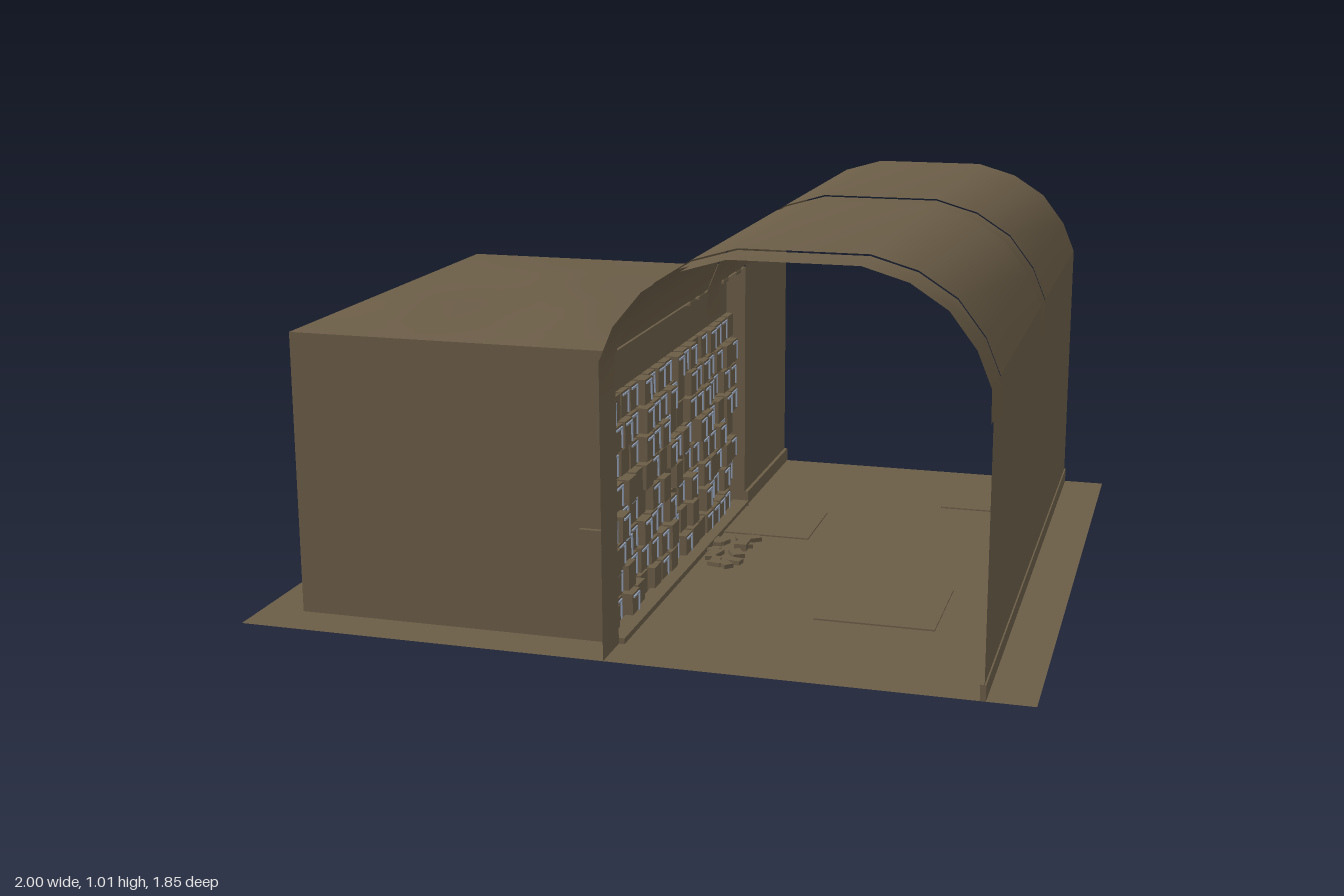
import * as THREE from 'three';

const BROWN = new THREE.MeshStandardMaterial({ name: 'earth brown', color: 0x6b5d47, side: THREE.DoubleSide });
const STEEL = new THREE.MeshStandardMaterial({ name: 'pale steel blue', color: 0x8f9bb0, side: THREE.DoubleSide });

// vault cross-section, left to right
const ARCH = [[-0.035, 0.75], [0, 0.835], [0.07, 0.92], [0.16, 0.978], [0.27, 1.01],
  [0.58, 1.01], [0.69, 0.978], [0.78, 0.92], [0.845, 0.835], [0.88, 0.75]];

export function createModel() {
  const model = new THREE.Group();
  model.name = 'vaultedHall';

  const add = (name, geometry, material = BROWN, parent = model) => {
    const mesh = new THREE.Mesh(geometry, material);
    mesh.name = name;
    parent.add(mesh);
    return mesh;
  };
  // box given by its extents
  const block = (name, x0, x1, y0, y1, z0, z1, material, parent) => {
    const g = new THREE.BoxGeometry(x1 - x0, y1 - y0, z1 - z0);
    g.translate((x0 + x1) / 2, (y0 + y1) / 2, (z0 + z1) / 2);
    return add(name, g, material, parent);
  };
  // open sheet following a profile in x and y, running from z0 to z1
  const sheet = (name, profile, z0, z1) => {
    const n = profile.length;
    const g = new THREE.PlaneGeometry(1, 1, n - 1, 1);
    const p = g.attributes.position;
    for (let i = 0; i < p.count; i++) {
      const [x, y] = profile[i % n];
      p.setXYZ(i, x, y, i < n ? z0 : z1);
    }
    g.computeVertexNormals();
    return add(name, g);
  };
  // vertical sheet facing sideways or forwards
  const sideWall = (name, x, y0, y1, z0, z1, turn) => {
    const g = new THREE.PlaneGeometry(z1 - z0, y1 - y0);
    g.rotateY(turn * Math.PI / 2).translate(x, (y0 + y1) / 2, (z0 + z1) / 2);
    return add(name, g);
  };
  const endWall = (name, x0, x1, y0, y1, z, turn) => {
    const g = new THREE.PlaneGeometry(x1 - x0, y1 - y0);
    g.rotateY(turn).translate((x0 + x1) / 2, (y0 + y1) / 2, z);
    return add(name, g);
  };
  let seed = 7;
  const rand = () => (seed = (seed * 16807) % 2147483647) / 2147483647;

  // L-shaped floor (shape y is -z)
  const outline = [[-1, -0.92], [1, -0.92], [1, 0.925], [-0.08, 0.925], [-0.08, 0.53], [-1, 0.53]];
  const floor = new THREE.ShapeGeometry(new THREE.Shape(outline.map(([x, y]) => new THREE.Vector2(x, y))));
  add('floor', floor.rotateX(-Math.PI / 2).translate(0, 0.01, 0));

  // thin floor slabs
  for (const [x0, x1, z0, z1] of [[0.39, 0.7, 0.2, 0.51], [0.55, 0.85, -0.68, -0.53],
    [-0.05, 0.23, -0.38, -0.12], [-0.53, -0.22, 0.2, 0.45]]) {
    block('floorSlab', x0, x1, 0, 0.014, z0, z1);
  }

  // vault panels with slightly recessed bands between them
  sheet('vaultRear', ARCH, -0.925, -0.105);
  sheet('vaultFront', ARCH, 0, 0.82);
  const inset = ARCH.map(([x, y]) => [0.4225 + (x - 0.4225) * 0.988, y - 0.01]);
  const band = [[-0.03, 0.66], ...inset, [0.875, 0.66]];
  const bandOuter = [[-0.035, 0.66], ...ARCH.map(([x, y]) => [x, y - 0.004]), [0.882, 0.66]];
  for (const [z0, z1] of [[-0.105, 0], [0.82, 0.92]]) {
    sheet('vaultBandInner', band, z0, z1);
    sheet('vaultBand', bandOuter, z0, z1);
  }

  // hall walls and skirtings
  sideWall('rightWall', 0.88, 0.01, 0.75, -0.925, 0.92, 1);
  sideWall('leftRearWall', -0.035, 0.01, 0.75, -0.925, -0.41, -1);
  sideWall('leftFrontWall', -0.035, 0.01, 0.75, 0.8, 0.92, -1);
  block('rightSkirting', 0.87, 0.884, 0.01, 0.05, -0.925, 0.92);
  block('leftRearSkirting', -0.039, -0.025, 0.01, 0.05, -0.925, -0.41);

  // side room: walls and gently uneven roof
  sideWall('roomOuterWall', -0.89, 0.01, 0.745, -0.41, 0.8, -1);
  endWall('roomFrontWall', -0.89, -0.035, 0.01, 0.745, 0.8, 0);
  endWall('roomRearWall', -0.89, -0.035, 0.01, 0.745, -0.41, Math.PI);
  const roof = new THREE.PlaneGeometry(0.855, 1.21, 10, 14);
  roof.rotateX(-Math.PI / 2).translate(-0.4625, 0.745, 0.195);
  const rp = roof.attributes.position;
  for (let i = 0; i < rp.count; i++) {
    const u = (rp.getX(i) + 0.89) / 0.855, v = (rp.getZ(i) + 0.41) / 1.21;
    const edge = Math.min(1, 5 * u * (1 - u)) * Math.min(1, 5 * v * (1 - v));
    rp.setY(i, 0.745 + edge * (0.022 + 0.01 * Math.sin(u * 9) * Math.cos(v * 8)));
  }
  roof.computeVertexNormals();
  add('roomRoof', roof);

  // rough panelled face between room and hall
  const face = new THREE.Group();
  face.name = 'panelledFace';
  model.add(face);
  block('backing', -0.1, -0.09, 0.01, 0.74, -0.4, 0.79, BROWN, face);
  for (let i = 0; i < 17; i++) {
    const z = -0.4 + i * 0.07;
    for (let j = 0; j < 8; j++) {
      const y = 0.015 + j * 0.075;
      const depth = -0.08 + rand() * 0.03;
      block('panel', -0.09, depth, y, y + 0.066, z + 0.004, z + 0.062, BROWN, face);
      if (rand() < 0.7) {
        block('panelTrim', depth, depth + 0.004, y + 0.005, y + 0.061, z + 0.01, z + 0.015, STEEL, face);
        block('panelTrim', depth, depth + 0.004, y + 0.055, y + 0.06, z + 0.015, z + 0.055, STEEL, face);
      }
    }
  }

  // brackets at the room corners
  block('rearBracket', -0.125, -0.05, 0.58, 0.745, -0.43, -0.41);
  block('frontBracket', -0.13, -0.05, 0.29, 0.3, 0.8, 0.812);
  for (const z of [-0.34, -0.2, -0.06, 0.05, 0.14]) {
    block('roofClip', -0.05, -0.036, 0.735, 0.755, z - 0.025, z + 0.025);
  }

  // loose rubble on the floor
  for (let i = 0; i < 14; i++) {
    const s = 0.015 + rand() * 0.02;
    const stone = add('rubble', new THREE.BoxGeometry(s * 1.6, 0.012, s));
    stone.position.set(-0.02 + rand() * 0.11, 0.016, -0.12 + rand() * 0.3);
    stone.rotation.y = rand() * 3;
  }
  block('floorBlock', 0.05, 0.085, 0.01, 0.03, -0.03, 0.03);
  block('threshold', -0.07, -0.02, 0.01, 0.025, -0.4, 0.8);

  return model;
}
